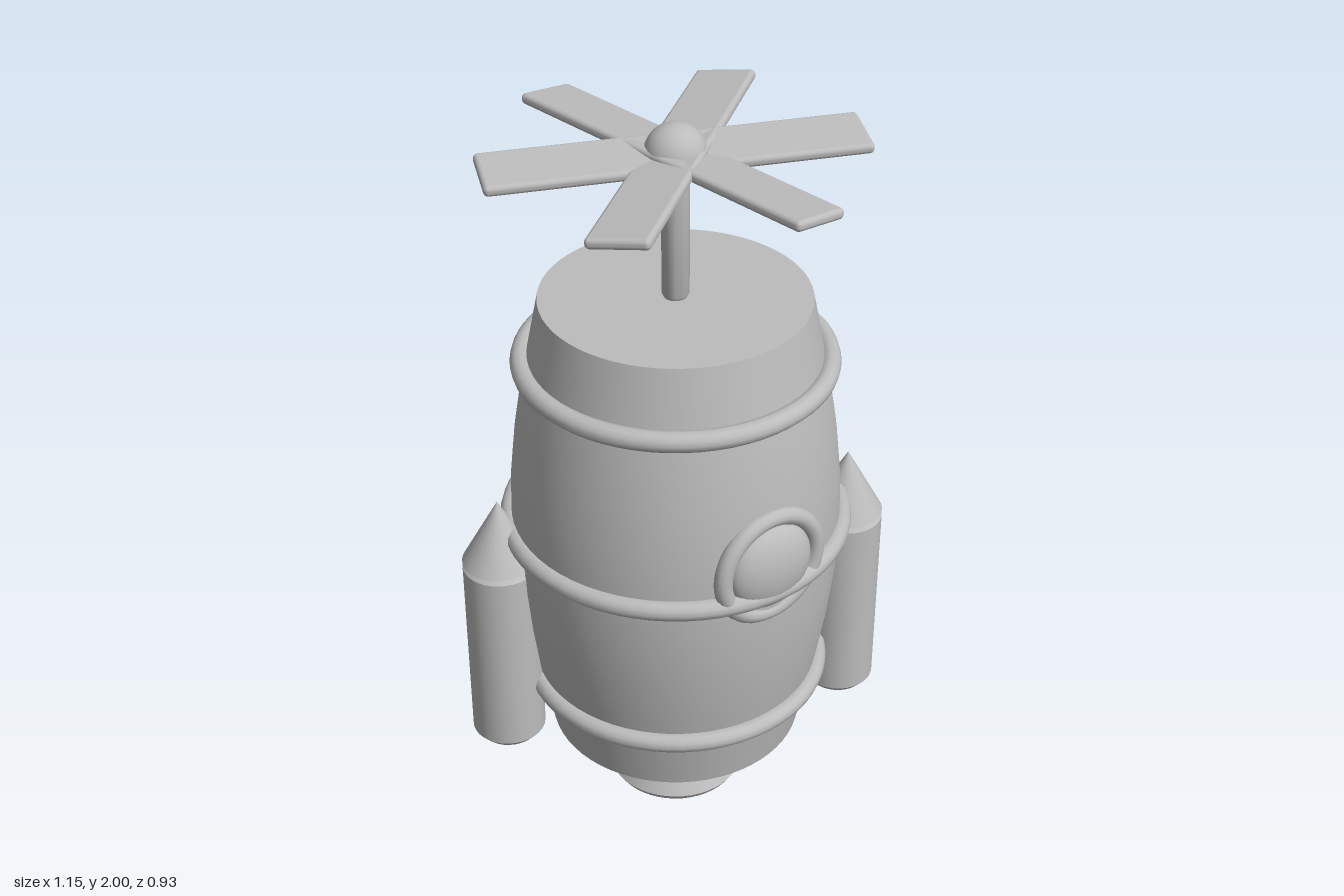
import * as THREE from 'three';
import { toCreasedNormals } from 'three/addons/utils/BufferGeometryUtils.js';
import { RoundedBoxGeometry } from 'three/addons/geometries/RoundedBoxGeometry.js';

export function createModel() {
  const model = new THREE.Group();
  model.name = 'barrelRocket';
  const grey = new THREE.MeshStandardMaterial({ color: 0xbcbcbc });
  grey.name = 'plain grey';

  function add(name, geometry, parent = model) {
    const mesh = new THREE.Mesh(geometry, grey);
    mesh.name = name;
    parent.add(mesh);
    return mesh;
  }

  // Turned part from [radius, y] pairs listed bottom to top, with crisp rims
  function turned(points, segments = 48) {
    const profile = points.map(([r, y]) => new THREE.Vector2(r, y));
    return toCreasedNormals(new THREE.LatheGeometry(profile, segments), 0.5);
  }

  // Barrel: bulging staves with flat heads
  add('barrel', turned([
    [0, 0.22], [0.345, 0.22], [0.376, 0.38], [0.394, 0.47], [0.415, 0.6],
    [0.43, 0.74], [0.435, 0.88], [0.43, 1.02], [0.415, 1.16],
    [0.394, 1.29], [0.376, 1.38], [0.345, 1.535], [0, 1.535],
  ], 64));

  // Hoops around the barrel
  for (const [name, radius, y] of [
    ['lowerHoop', 0.39, 0.405], ['middleHoop', 0.438, 0.885], ['upperHoop', 0.392, 1.36],
  ]) {
    const hoop = add(name, new THREE.TorusGeometry(radius, 0.027, 12, 64));
    hoop.rotation.x = Math.PI / 2;
    hoop.position.y = y;
  }

  // Porthole, turned toward the model's left on the barrel wall
  const porthole = new THREE.Group();
  porthole.name = 'porthole';
  porthole.position.set(0.145, 0.957, 0.39);
  porthole.rotation.y = 0.36;
  model.add(porthole);
  add('portholeRing', new THREE.TorusGeometry(0.143, 0.024, 12, 48), porthole);
  const glass = add('portholeGlass', new THREE.SphereGeometry(0.122, 32, 20), porthole);
  glass.scale.z = 0.45;

  // Engine nozzle under the barrel
  add('nozzle', turned([
    [0, 0], [0.176, 0], [0.187, 0.018], [0.11, 0.157], [0.125, 0.22], [0, 0.22],
  ]));

  // Side boosters with pointed caps
  for (const side of [-1, 1]) {
    const booster = new THREE.Group();
    booster.name = side > 0 ? 'leftBooster' : 'rightBooster';
    booster.position.x = side * 0.476;
    model.add(booster);
    add('boosterBody', turned([
      [0, 0.222], [0.082, 0.222], [0.1, 0.243], [0.1, 0.788], [0.082, 0.808], [0, 0.808],
    ], 32), booster);
    add('boosterCap', turned([[0, 0.805], [0.1, 0.805], [0, 0.988]], 32), booster);
  }

  // Propeller shaft and hub
  add('shaft', turned([
    [0, 1.52], [0.03, 1.535], [0.035, 1.546], [0.035, 1.87], [0, 1.87],
  ], 24));
  add('hub', new THREE.SphereGeometry(0.077, 32, 20)).position.y = 1.923;

  // Three full-length crossing bars make six pitched blades
  for (let i = 0; i < 3; i++) {
    const arm = new THREE.Group();
    arm.name = 'bladePair' + (i + 1);
    arm.position.y = 1.923;
    arm.rotation.y = i * Math.PI * 2 / 3;
    model.add(arm);
    const blade = add('blade', new RoundedBoxGeometry(0.95, 0.028, 0.157, 3, 0.012), arm);
    blade.rotation.x = 0.13;
  }

  return model;
}
